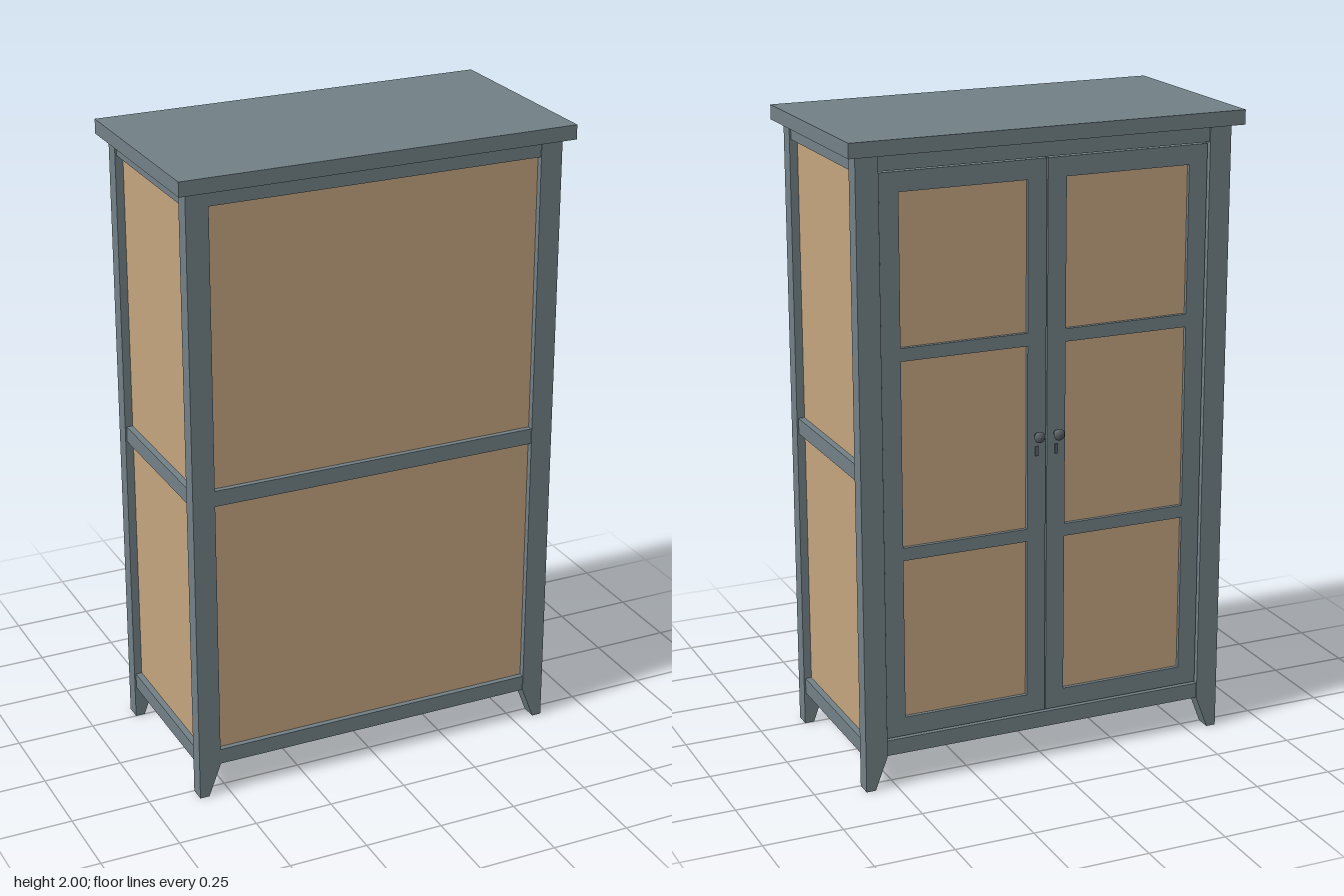
import * as THREE from 'three';

const frameMat = new THREE.MeshStandardMaterial({ color: 0x728187 });
frameMat.name = 'slate paint';
const panelMat = new THREE.MeshStandardMaterial({ color: 0xc5a580 });
panelMat.name = 'tan wood';
const metalMat = new THREE.MeshStandardMaterial({ color: 0x5a6468 });
metalMat.name = 'dark metal';

// Box given by its limits on each axis
function box(parent, name, mat, [x0, x1], [y0, y1], [z0, z1]) {
  const mesh = new THREE.Mesh(new THREE.BoxGeometry(x1 - x0, y1 - y0, z1 - z0), mat);
  mesh.position.set((x0 + x1) / 2, (y0 + y1) / 2, (z0 + z1) / 2);
  mesh.name = name;
  parent.add(mesh);
  return mesh;
}

// Corner post whose foot tapers on the inner side
function cornerPost() {
  const s = new THREE.Shape();
  s.moveTo(0.57, 0);
  s.lineTo(0.6, 0);
  s.lineTo(0.6, 1.955);
  s.lineTo(0.53, 1.955);
  s.lineTo(0.53, 0.105);
  s.closePath();
  return new THREE.ExtrudeGeometry(s, { depth: 0.05, bevelEnabled: false });
}

// Framed door with three panes, a knob and a keyhole plate, on the -z side
function makeDoor(side) {
  const door = new THREE.Group();
  door.name = side > 0 ? 'leftDoor' : 'rightDoor';
  const zFrame = [-0.29, -0.26];
  const span = (a, b) => (side > 0 ? [a, b] : [-b, -a]);
  box(door, 'innerStile', frameMat, span(0.002, 0.062), [0.16, 1.9], zFrame);
  box(door, 'outerStile', frameMat, span(0.466, 0.526), [0.16, 1.9], zFrame);
  for (const [y0, y1] of [[0.16, 0.22], [0.725, 0.765], [1.34, 1.38], [1.84, 1.9]]) {
    box(door, 'doorRail', frameMat, span(0.062, 0.466), [y0, y1], zFrame);
  }
  box(door, 'doorPanel', panelMat, span(0.062, 0.466), [0.22, 1.84], [-0.278, -0.268]);

  const profile = [[0, 0], [0.008, 0], [0.007, 0.012], [0.016, 0.018], [0.018, 0.025], [0.013, 0.032], [0, 0.034]];
  const knob = new THREE.Mesh(
    new THREE.LatheGeometry(profile.map(p => new THREE.Vector2(...p)), 16), metalMat);
  knob.rotation.x = -Math.PI / 2;
  knob.position.set(side * 0.032, 1.06, -0.29);
  knob.name = 'knob';
  door.add(knob);
  box(door, 'keyholePlate', metalMat, span(0.027, 0.037), [0.995, 1.025], [-0.294, -0.289]);
  return door;
}

export function createModel() {
  const cabinet = new THREE.Group();
  cabinet.name = 'cabinet';

  box(cabinet, 'top', frameMat, [-0.63, 0.63], [1.955, 2], [-0.33, 0.33]);
  box(cabinet, 'floor', frameMat, [-0.575, 0.575], [0.107, 0.15], [-0.275, 0.275]);

  // Four posts: the pair on +x, then the same turned half round
  const post = cornerPost();
  for (const turn of [0, Math.PI]) {
    const pair = new THREE.Group();
    pair.name = 'postPair';
    pair.rotation.y = turn;
    for (const z of [0.25, -0.3]) {
      const mesh = new THREE.Mesh(post, frameMat);
      mesh.position.z = z;
      mesh.name = 'cornerPost';
      pair.add(mesh);
    }
    cabinet.add(pair);
  }

  // Rails: three on the front and each side, two around the doors
  const levels = [[0.105, 0.155], [0.98, 1.03], [1.905, 1.955]];
  levels.forEach((y, i) => {
    box(cabinet, 'frontRail', frameMat, [-0.53, 0.53], y, [0.255, 0.297]);
    if (i !== 1) box(cabinet, 'doorwayRail', frameMat, [-0.53, 0.53], y, [-0.295, -0.255]);
    box(cabinet, 'leftRail', frameMat, [0.555, 0.595], y, [-0.25, 0.25]);
    box(cabinet, 'rightRail', frameMat, [-0.595, -0.555], y, [-0.25, 0.25]);
  });

  // Recessed wood panels
  box(cabinet, 'frontPanel', panelMat, [-0.53, 0.53], [0.15, 1.95], [0.265, 0.28]);
  box(cabinet, 'leftPanel', panelMat, [0.56, 0.575], [0.15, 1.95], [-0.25, 0.25]);
  box(cabinet, 'rightPanel', panelMat, [-0.575, -0.56], [0.15, 1.95], [-0.25, 0.25]);

  cabinet.add(makeDoor(1), makeDoor(-1));
  return cabinet;
}
